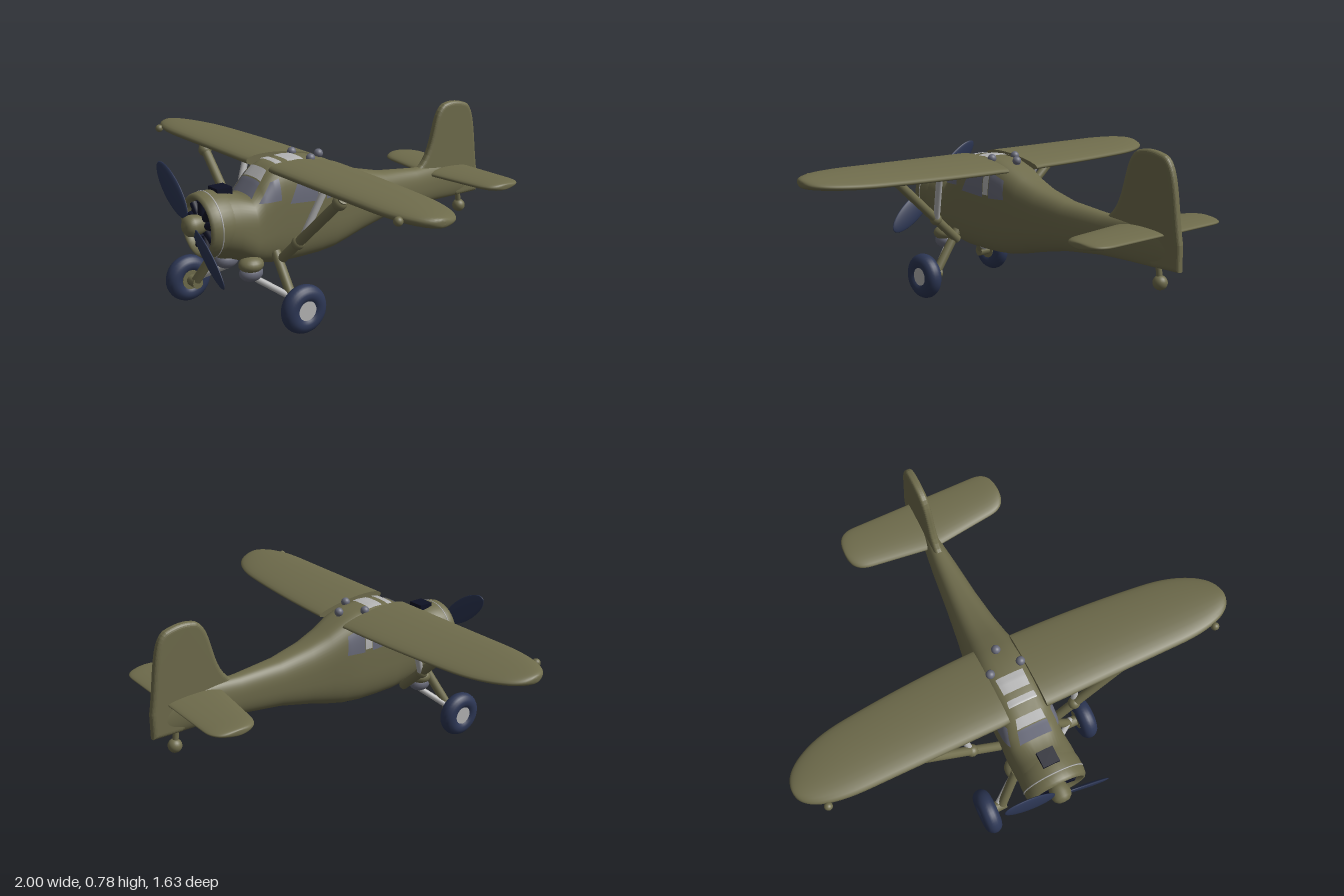
import * as THREE from 'three';

const mat = (name, color, side = THREE.FrontSide) => {
  const m = new THREE.MeshStandardMaterial({ color, side });
  m.name = name;
  return m;
};
const V = (x, y, z) => new THREE.Vector3(x, y, z);

// Skin through a list of closed rings, with both ends capped
function loft(rings) {
  const n = rings[0].length, pos = [], idx = [];
  for (const r of rings) for (const p of r) pos.push(p.x, p.y, p.z);
  for (let i = 0; i < rings.length - 1; i++) for (let j = 0; j < n; j++) {
    const k = (j + 1) % n, a = i * n + j, b = i * n + k, c = a + n, d = b + n;
    idx.push(a, c, b, c, d, b);
  }
  for (const end of [0, rings.length - 1]) {
    const ring = rings[end], base = pos.length / 3;
    const mid = ring.reduce((s, p) => s.add(p), V(0, 0, 0)).divideScalar(n);
    for (const p of [...ring, mid]) pos.push(p.x, p.y, p.z);
    for (let j = 0; j < n; j++) {
      const k = (j + 1) % n;
      idx.push(base + n, base + (end ? k : j), base + (end ? j : k));
    }
  }
  return finish(pos, idx);
}

function finish(pos, idx) {
  const g = new THREE.BufferGeometry();
  g.setAttribute('position', new THREE.Float32BufferAttribute(pos, 3));
  g.setIndex(idx);
  g.computeVertexNormals();
  return g;
}

// Fuselage stations: z, bottom, top, half width, squareness
const STATIONS = [
  [0.70, 0.305, 0.58, 0.134, 2], [0.62, 0.28, 0.57, 0.136, 2.2], [0.54, 0.25, 0.54, 0.132, 2.8],
  [0.50, 0.24, 0.59, 0.13, 3], [0.45, 0.23, 0.642, 0.127, 3.2], [0.40, 0.224, 0.66, 0.127, 3.4],
  [0.30, 0.22, 0.664, 0.127, 3.4], [0.20, 0.22, 0.655, 0.126, 3.3], [0.12, 0.225, 0.628, 0.12, 3.1],
  [0.05, 0.238, 0.59, 0.108, 2.9], [-0.05, 0.262, 0.55, 0.093, 2.7], [-0.2, 0.292, 0.513, 0.075, 2.5],
  [-0.4, 0.31, 0.492, 0.055, 2.3], [-0.55, 0.31, 0.485, 0.036, 2.2], [-0.7, 0.307, 0.47, 0.025, 2],
  [-0.8, 0.31, 0.44, 0.015, 2],
];
function station(z) {
  let i = 0;
  while (i < STATIONS.length - 2 && z < STATIONS[i + 1][0]) i++;
  const a = STATIONS[i], b = STATIONS[i + 1], t = (z - a[0]) / (b[0] - a[0]);
  const [, lo, hi, w, n] = a.map((v, k) => v + (b[k] - v) * t);
  return { c: (lo + hi) / 2, h: (hi - lo) / 2, w, n };
}
const sup = (u, n) => Math.pow(Math.max(0, 1 - Math.pow(Math.abs(u), n)), 1 / n);
const sidePoint = (z, y) => { const s = station(z); return V(s.w * sup((y - s.c) / s.h, s.n) + 0.005, y, z); };
const roofPoint = (z, x) => { const s = station(z); return V(x, s.c + s.h * sup(x / s.w, s.n) + 0.005, z); };

// Thin pane that follows the fuselage skin between four corners
function pane(corners, surface) {
  const N = 10, pos = [], idx = [], [a, b, c, d] = corners.map(p => new THREE.Vector2(...p));
  for (let i = 0; i <= N; i++) for (let j = 0; j <= N; j++) {
    const p = a.clone().lerp(b, i / N).lerp(d.clone().lerp(c, i / N), j / N);
    pos.push(...surface(p.x, p.y).toArray());
    if (i < N && j < N) {
      const q = i * (N + 1) + j;
      idx.push(q, q + 1, q + N + 1, q + 1, q + N + 2, q + N + 1);
    }
  }
  return finish(pos, idx);
}

// Half of a flying surface with a rounded tip, running along +x
function panel({ root, tip, round, power, mid, lead, trail, y, slope, thick }) {
  const rings = [];
  for (let i = 0; i <= 32; i++) {
    const x = root + (tip - root) * Math.sin(i / 32 * Math.PI / 2);
    const f = Math.max(0.03, x > tip - round ? sup((x - tip + round) / round, power) : 1);
    const z1 = mid + (lead(x) - mid) * f, z0 = mid + (trail(x) - mid) * f;
    const ring = [];
    for (let j = 0; j < 28; j++) {
      const a = j / 28 * Math.PI * 2, c = Math.cos(a);
      const z = (z0 + z1) / 2 + (z1 - z0) / 2 * c;
      ring.push(V(x, y + slope * (z - mid) + thick * Math.sqrt(f) * Math.sin(a) * (1 + 0.2 * c), z));
    }
    rings.push(ring);
  }
  return loft(rings);
}

export function createModel() {
  const model = new THREE.Group();
  const olive = mat('olive', 0x6f6c4c, THREE.DoubleSide), navy = mat('navy', 0x2c3654);
  const dark = mat('dark', 0x0e1124), slate = mat('slate', 0x696b7a, THREE.DoubleSide);
  const light = mat('light grey', 0xb4b4b4, THREE.DoubleSide);

  const add = (name, geo, m, parent = model, x = 0, y = 0, z = 0) => {
    const mesh = new THREE.Mesh(geo, m);
    mesh.name = name;
    mesh.position.set(x, y, z);
    parent.add(mesh);
    return mesh;
  };
  const ball = (name, r, m, parent, x, y, z) => add(name, new THREE.SphereGeometry(r, 20, 14), m, parent, x, y, z);
  const rod = (name, a, b, r, m, parent) => {
    const p = V(...a), q = V(...b), dir = q.clone().sub(p);
    const mesh = add(name, new THREE.CylinderGeometry(r, r, dir.length(), 14), m, parent);
    mesh.position.copy(p.add(q).multiplyScalar(0.5));
    mesh.quaternion.setFromUnitVectors(V(0, 1, 0), dir.normalize());
    return mesh;
  };
  const lathe = pts => new THREE.LatheGeometry(pts.map(p => new THREE.Vector2(...p)), 40).rotateX(Math.PI / 2);

  // Fuselage
  add('fuselage', loft(STATIONS.map(([z, lo, hi, w, n]) => Array.from({ length: 56 }, (_, j) => {
    const a = j / 56 * Math.PI * 2, c = Math.cos(a), s = Math.sin(a);
    const e = v => Math.sign(v) * Math.pow(Math.abs(v), 2 / n);
    return V(w * e(c), (lo + hi) / 2 + (hi - lo) / 2 * e(s), z);
  }))), olive);

  // Cowling, engine and nose details
  add('cowling', lathe([[0.13, 0.63], [0.138, 0.67], [0.139, 0.72], [0.135, 0.745], [0.126, 0.757],
    [0.116, 0.755], [0.108, 0.74], [0.106, 0.70]]), olive, model, 0, 0.443, 0);
  add('cowlingBand', new THREE.TorusGeometry(0.138, 0.003, 6, 48), light, model, 0, 0.443, 0.71);
  const engine = new THREE.Group();
  engine.name = 'engine';
  engine.position.set(0, 0.443, 0.712);
  model.add(engine);
  add('engineBack', new THREE.CylinderGeometry(0.108, 0.108, 0.02, 36).rotateX(Math.PI / 2), dark, engine);
  for (let i = 0; i < 9; i++) {
    const g = new THREE.CylinderGeometry(0.018, 0.018, 0.06, 10).translate(0, 0.073, 0.015);
    add('engineCylinder', g.rotateZ(i / 9 * Math.PI * 2), dark, engine);
  }
  add('airIntake', new THREE.BoxGeometry(0.075, 0.03, 0.07), dark, model, 0, 0.577, 0.64);

  // Propeller
  const propeller = new THREE.Group();
  propeller.name = 'propeller';
  propeller.position.set(0, 0.45, 0.78);
  propeller.rotation.z = -0.665;
  model.add(propeller);
  for (const s of [-1, 1]) {
    const g = new THREE.SphereGeometry(1, 24, 16).scale(0.148, 0.053, 0.01).rotateX(s * 0.18);
    add('propellerBlade', g, navy, propeller, s * (s < 0 ? 0.19 : 0.165), 0, 0);
  }
  add('spinner', lathe([[0.03, -0.07], [0.042, -0.03], [0.046, 0], [0.04, 0.02], [0.024, 0.033], [0, 0.037]]), olive, propeller);

  // Roof glass
  const roof = (name, x0, z0, x1, z1, m) =>
    add(name, pane([[z0, -x0], [z0, x0], [z1, x1], [z1, -x1]], roofPoint), m);
  roof('windshieldLower', 0.075, 0.538, 0.068, 0.492, slate);
  roof('windshieldUpper', 0.066, 0.488, 0.058, 0.452, light);
  roof('frontSkylight', 0.065, 0.405, 0.062, 0.375, light);
  roof('skylight', 0.06, 0.345, 0.063, 0.27, light);

  // Roof knobs
  for (const [x, y, z] of [[0, 0.652, 0.145], [-0.07, 0.66, 0.237], [0.07, 0.66, 0.237]]) {
    ball('roofKnob', 0.02, slate, model, x, y, z);
    rod('roofKnobStem', [x, y - 0.05, z], [x, y, z], 0.011, slate);
  }

  // Tail fin
  const finShape = new THREE.Shape();
  finShape.moveTo(-0.40, 0.47);
  finShape.bezierCurveTo(-0.54, 0.52, -0.5, 0.73, -0.585, 0.775);
  finShape.bezierCurveTo(-0.63, 0.79, -0.68, 0.785, -0.73, 0.765);
  finShape.bezierCurveTo(-0.79, 0.73, -0.785, 0.58, -0.815, 0.42);
  finShape.lineTo(-0.815, 0.31);
  finShape.lineTo(-0.68, 0.31);
  const fin = new THREE.ExtrudeGeometry(finShape, {
    depth: 0.012, bevelThickness: 0.014, bevelSize: 0.02, bevelOffset: -0.02, bevelSegments: 5, curveSegments: 14,
  });
  add('tailFin', fin.translate(0, 0, -0.006).rotateY(-Math.PI / 2), olive);

  // Tail wheel
  rod('tailWheelStem', [0, 0.33, -0.70], [0, 0.26, -0.71], 0.013, olive);
  ball('tailWheel', 0.031, olive, model, 0, 0.25, -0.712);

  const wing = panel({
    root: 0.085, tip: 1, round: 0.3, power: 2.4, mid: 0.33, y: 0.637, slope: 0.09, thick: 0.032,
    lead: () => 0.46, trail: x => 0.1 + 0.085 * x * x,
  });
  const stabilizer = panel({
    root: 0, tip: 0.39, round: 0.1, power: 2.8, mid: -0.635, y: 0.45, slope: 0, thick: 0.02,
    lead: x => -0.485 - 0.13 * x, trail: () => -0.742,
  });

  // Mirrored parts, with one main wheel set further forward
  for (const s of [1, -1]) {
    const half = new THREE.Group();
    half.name = s > 0 ? 'leftSide' : 'rightSide';
    half.scale.x = s;
    model.add(half);
    add('wing', wing, olive, half);
    add('stabilizer', stabilizer, olive, half);
    ball('wingTipLamp', 0.018, olive, half, 0.89, 0.64, 0.45);

    // Side windows
    add('quarterWindow', pane([[0.525, 0.522], [0.425, 0.522], [0.425, 0.612], [0.462, 0.6]], sidePoint), slate, half);
    add('sideWindow', pane([[0.385, 0.5], [0.24, 0.488], [0.24, 0.605], [0.33, 0.605]], sidePoint), slate, half);
    add('windowPost', pane([[0.237, 0.5], [0.2, 0.5], [0.2, 0.6], [0.237, 0.6]], sidePoint), light, half);
    add('rearWindow', pane([[0.197, 0.487], [0.105, 0.49], [0.115, 0.575], [0.197, 0.605]], sidePoint), slate, half);

    // Wing struts
    rod('wingStrut', [0.53, 0.625, 0.415], [0.12, 0.255, 0.44], 0.021, olive, half);
    ball('strutFairing', 0.03, olive, half, 0.51, 0.605, 0.417);
    ball('strutJoint', 0.028, olive, half, 0.25, 0.372, 0.432);
    rod('braceStrut', [0.305, 0.62, 0.32], [0.255, 0.38, 0.42], 0.015, light, half);

    // Landing gear
    const wx = s > 0 ? 0.31 : 0.282, wz = s > 0 ? 0.45 : 0.657, wy = 0.108;
    const foot = s > 0 ? 0.45 : 0.585;
    const pod = ball('gearPod', 1, slate, half, 0.098, 0.228, 0.565);
    pod.scale.set(0.043, 0.038, 0.053);
    const fairing = ball('gearFairing', 1, olive, half, 0.1, 0.265, 0.565);
    fairing.scale.set(0.05, 0.035, 0.055);
    rod('gearLeg', [0.11, 0.3, foot], [wx - 0.075, wy + 0.01, wz], 0.021, olive, half);
    rod('axle', [wx - 0.09, wy, wz], [wx, wy, wz], 0.025, olive, half);
    rod('gearBrace', [0.09, 0.205, 0.555], [wx - 0.06, wy + 0.015, wz - 0.01], 0.014, light, half);
    const tyre = add('tyre', new THREE.TorusGeometry(0.066, 0.039, 18, 40).rotateY(Math.PI / 2), navy, half, wx, wy, wz);
    tyre.name = 'wheelTyre';
    rod('wheelHub', [wx, wy, wz], [wx + 0.03, wy, wz], 0.044, light, half);
    rod('brakeDrum', [wx - 0.035, wy, wz], [wx, wy, wz], 0.044, olive, half);
  }
  return model;
}
